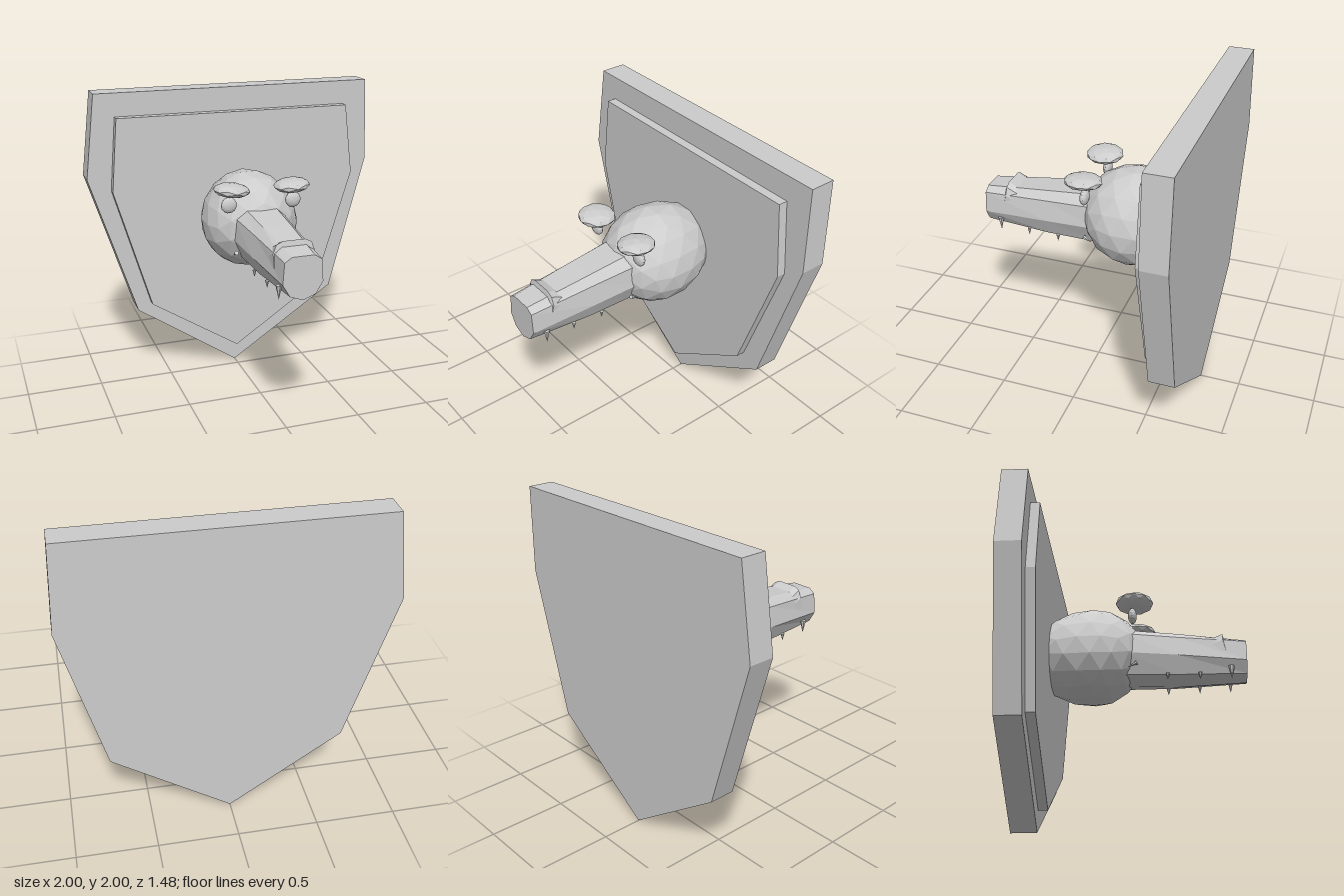
import * as THREE from 'three';

// Skin a list of rings (equal point counts, counter-clockwise seen from the end) with capped ends
function loft(rings) {
  const n = rings[0].length, index = [];
  for (let r = 0; r < rings.length - 1; r++) {
    for (let i = 0; i < n; i++) {
      const j = (i + 1) % n, a = r * n, b = a + n;
      index.push(a + i, a + j, b + j, a + i, b + j, b + i);
    }
  }
  const last = (rings.length - 1) * n;
  for (let i = 1; i < n - 1; i++) {
    index.push(0, i + 1, i, last, last + i, last + i + 1);
  }
  const geometry = new THREE.BufferGeometry();
  geometry.setAttribute('position', new THREE.Float32BufferAttribute(rings.flat(2), 3));
  geometry.setIndex(index);
  geometry.computeVertexNormals();
  return geometry;
}

// Flat board cut from an outline, between two depths
function board(points, back, front) {
  const shape = new THREE.Shape(points.map(([x, y]) => new THREE.Vector2(x, y)));
  const geometry = new THREE.ExtrudeGeometry(shape, { depth: front - back, bevelEnabled: false });
  return geometry.translate(0, 0, back);
}

// Snout cross-section: half outline from bottom to top, mirrored
function snoutRing(z, half, bottom) {
  const right = half.map(([x, y]) => [x, y, z]);
  const left = half.map(([x, y]) => [-x, y, z]).reverse();
  return [[0, bottom, z], ...right, ...left];
}

export function createModel() {
  const group = new THREE.Group();
  const grey = new THREE.MeshStandardMaterial({ color: 0xcccccc });
  grey.name = 'grey';
  grey.flatShading = true;

  const add = (name, geometry, x = 0, y = 0, z = 0) => {
    const mesh = new THREE.Mesh(geometry, grey);
    mesh.name = name;
    mesh.position.set(x, y, z);
    group.add(mesh);
    return mesh;
  };

  // Shield-shaped wall plaque in two layers
  add('plaque', board([[0, 0], [0.74, 0.49], [1, 1.44], [0.98, 2], [-0.93, 2],
    [-1, 1.44], [-0.7, 0.48]], -0.74, -0.575));
  add('plaquePanel', board([[0, 0.14], [0.61, 0.55], [0.865, 1.36], [0.81, 1.84],
    [-0.8, 1.845], [-0.845, 1.355], [-0.61, 0.535]], -0.575, -0.515));

  // Faceted head, narrower at the crown and longer towards the plaque
  const head = new THREE.IcosahedronGeometry(1, 2);
  const p = head.attributes.position;
  for (let i = 0; i < p.count; i++) {
    const x = p.getX(i), y = p.getY(i), z = p.getZ(i);
    p.setXYZ(i, x * 0.315 * (1 - 0.1 * y), y * 0.32, z * (z > 0 ? 0.335 : 0.42));
  }
  head.computeVertexNormals();
  add('head', head, 0.01, 1.18, -0.25);

  // Long tapering snout
  add('snout', loft([
    snoutRing(-0.05, [[0.12, 0.99], [0.18, 1.12], [0.165, 1.26], [0.1, 1.32]], 0.96),
    snoutRing(0.3, [[0.11, 0.985], [0.16, 1.1], [0.14, 1.235], [0.09, 1.285]], 0.945),
    snoutRing(0.74, [[0.08, 0.995], [0.125, 1.07], [0.115, 1.205], [0.07, 1.235]], 0.965),
  ]));

  // Raised nose ridge arched over the snout
  const arch = [[-0.13, -0.07], [-0.11, -0.02], [-0.07, 0], [0.07, 0], [0.11, -0.02], [0.13, -0.07]];
  add('noseRidge', loft(arch.map(([x, dy]) => [
    [x, 1.24 + dy, 0.49], [x, 1.285 + dy, 0.59], [x, 1.2 + dy, 0.61],
  ])));

  for (const [side, s] of [['left', 1], ['right', -1]]) {
    // Eyes, flattened front to back
    add(side + 'Eye', new THREE.IcosahedronGeometry(1, 2), s * 0.215, 1.357, 0.015)
      .scale.set(0.052, 0.052, 0.028);

    // Disc-like brows over the eyes
    const brow = add(side + 'Brow', new THREE.IcosahedronGeometry(1, 1), s * 0.2, 1.457, 0.028);
    brow.scale.set(0.117, 0.043, 0.122);
    brow.rotation.z = s * 0.08;

    // Teeth pointing down along the jaw: x, top, depth, length, radius
    for (const [x, top, z, length, radius] of [
      [0.112, 1.035, 0.64, 0.09, 0.02],
      [0.112, 0.995, 0.44, 0.05, 0.013],
      [0.122, 0.99, 0.235, 0.045, 0.013],
    ]) {
      const tooth = new THREE.ConeGeometry(radius, length, 6).rotateX(Math.PI);
      add(side + 'Tooth', tooth, s * x, top - length / 2, z);
    }

    // Small tooth at the corner of the mouth
    const corner = new THREE.ConeGeometry(0.015, 0.06, 6).rotateX(-Math.PI / 2 - 0.5);
    add(side + 'CornerTooth', corner, s * 0.175, 1.03, 0.015);
  }
  return group;
}
